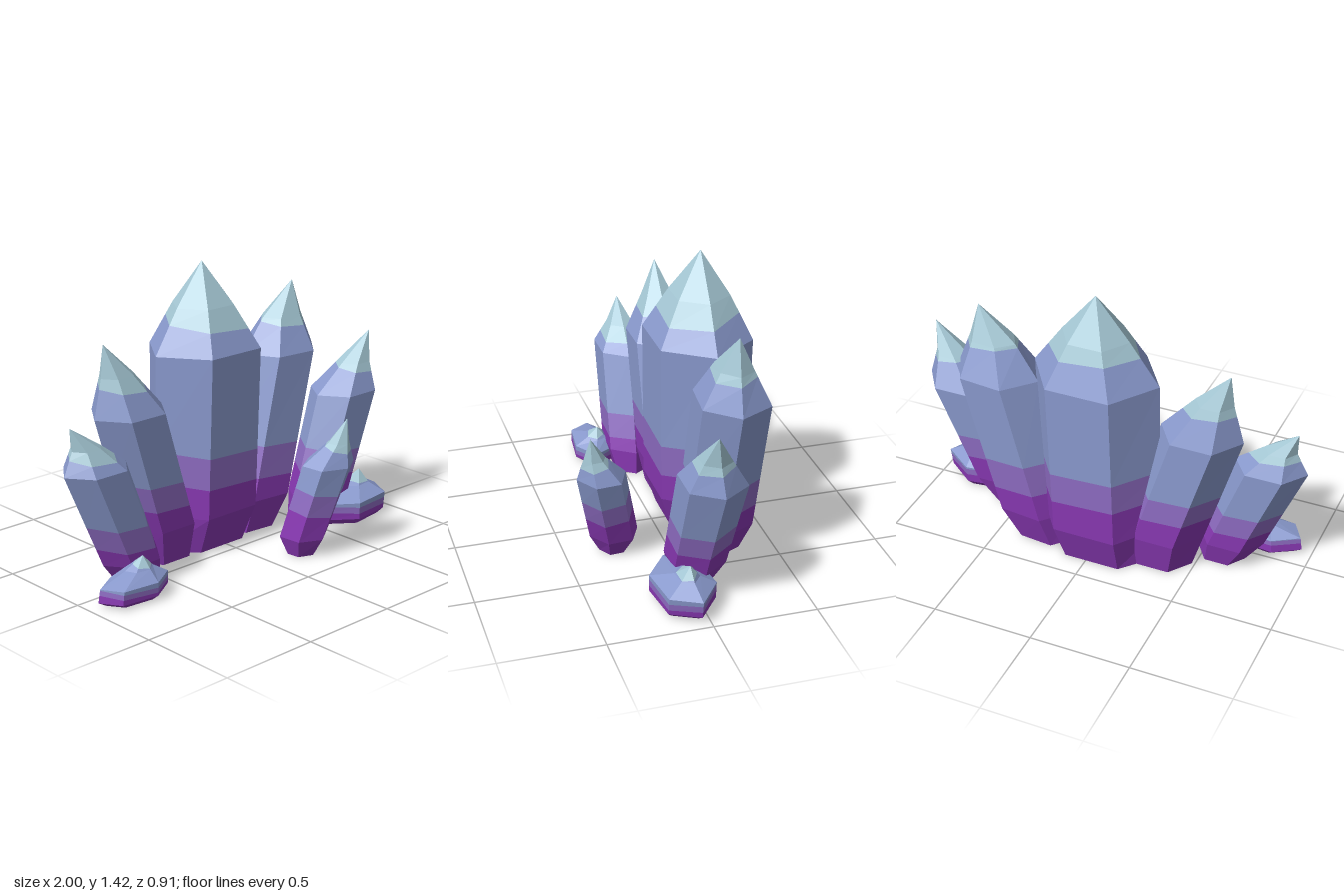
import * as THREE from 'three';

const SIDES = 6;
const mat = (name, color) => {
  const m = new THREE.MeshStandardMaterial({ color, flatShading: true });
  m.name = name;
  return m;
};

// A crystal lofted through hexagonal sections [y, centreX, centreZ, radiusX, radiusZ].
// bands: heights where the colour changes, bottom to top; slant tilts those lines.
function crystal(name, materials, sections, bands, slant = 0.018, turn = 0) {
  const angle = i => turn + (i % SIDES) / SIDES * Math.PI * 2;
  // point on long edge i at height y
  const edge = (i, y) => {
    let k = 0;
    while (k < sections.length - 2 && y > sections[k + 1][0]) k++;
    const a = sections[k], b = sections[k + 1];
    const t = (y - a[0]) / (b[0] - a[0]);
    const [cx, cz, rx, rz] = [1, 2, 3, 4].map(n => a[n] + (b[n] - a[n]) * t);
    return [cx + rx * Math.cos(angle(i)), y, cz + rz * Math.sin(angle(i))];
  };
  const levels = [
    ...sections.map(s => ({ y: s[0], slant: 0 })),
    ...bands.map(y => ({ y, slant })),
  ].sort((a, b) => a.y - b.y);
  const ring = l => Array.from({ length: SIDES }, (_, i) =>
    edge(i, l.y - l.slant * Math.cos(angle(i) - 0.9)));

  const geo = new THREE.BufferGeometry();
  const pos = [];
  const tri = (...pts) => pts.forEach(p => pos.push(...p));
  const rings = levels.map(ring);

  // base cap
  for (let i = 1; i < SIDES - 1; i++) tri(rings[0][0], rings[0][i], rings[0][i + 1]);
  geo.addGroup(0, pos.length / 3, 0);

  // sides and point
  for (let k = 0; k < rings.length - 1; k++) {
    const start = pos.length / 3, a = rings[k], b = rings[k + 1];
    const last = k === rings.length - 2;
    for (let i = 0; i < SIDES; i++) {
      const j = (i + 1) % SIDES;
      tri(a[i], b[i], a[j]);
      if (!last) tri(a[j], b[i], b[j]);
    }
    const band = bands.filter(y => y <= levels[k].y).length;
    geo.addGroup(start, pos.length / 3 - start, band);
  }
  geo.setAttribute('position', new THREE.Float32BufferAttribute(pos, 3));
  geo.computeVertexNormals();
  const mesh = new THREE.Mesh(geo, materials);
  mesh.name = name;
  return mesh;
}

export function createModel() {
  const group = new THREE.Group();
  group.name = 'crystalCluster';
  const materials = [
    mat('deepPurple', 0x8838b2),
    mat('lightPurple', 0x8e6cc2),
    mat('periwinkle', 0x8a9ace),
    mat('paleTeal', 0xa6c9d6),
  ];
  const add = (...args) => group.add(crystal(args[0], materials, ...args.slice(1)));

  // tall crystals in the back row
  add('centreCrystal', [
    [0, -0.03, -0.228, 0.28, 0.18],
    [0.19, -0.015, -0.225, 0.315, 0.25],
    [1.0, 0.005, -0.226, 0.318, 0.264],
    [1.21, 0.003, -0.235, 0.17, 0.148],
    [1.42, 0, -0.24, 0, 0],
  ], [0.35, 0.51, 1.12], 0.025);
  add('leftTallCrystal', [
    [0, 0.275, -0.22, 0.17, 0.14],
    [0.17, 0.33, -0.222, 0.215, 0.185],
    [0.89, 0.515, -0.232, 0.222, 0.184],
    [1.06, 0.54, -0.232, 0.125, 0.09],
    [1.23, 0.61, -0.23, 0, 0],
  ], [0.29, 0.45, 1.03], 0.018, 0.12);
  add('rightTallCrystal', [
    [0, -0.32, -0.195, 0.165, 0.13],
    [0.18, -0.335, -0.195, 0.205, 0.17],
    [0.78, -0.515, -0.193, 0.205, 0.172],
    [0.97, -0.575, -0.2, 0.095, 0.08],
    [1.13, -0.65, -0.205, 0, 0],
  ], [0.3, 0.43, 0.91]);

  // outer leaning crystals
  add('leftOuterCrystal', [
    [0, 0.55, -0.03, 0.125, 0.105],
    [0.14, 0.615, -0.03, 0.175, 0.145],
    [0.65, 0.81, -0.047, 0.19, 0.16],
    [0.79, 0.875, -0.035, 0.09, 0.08],
    [0.94, 0.97, -0.02, 0, 0],
  ], [0.26, 0.38, 0.76]);
  add('rightOuterCrystal', [
    [0, -0.59, -0.055, 0.12, 0.1],
    [0.12, -0.635, -0.055, 0.165, 0.135],
    [0.6, -0.82, -0.07, 0.18, 0.14],
    [0.71, -0.865, -0.078, 0.08, 0.07],
    [0.82, -0.95, -0.085, 0, 0],
  ], [0.2, 0.32, 0.66]);

  // small crystal standing in front
  add('frontCrystal', [
    [0, 0.205, 0.26, 0.08, 0.068],
    [0.09, 0.215, 0.255, 0.122, 0.122],
    [0.46, 0.3, 0.335, 0.138, 0.122],
    [0.57, 0.33, 0.375, 0.055, 0.055],
    [0.69, 0.36, 0.4, 0, 0],
  ], [0.22, 0.33, 0.54], 0.018, 0.45);

  // low stubs with a small point
  add('leftStub', [
    [0, 0.74, 0.07, 0.18, 0.12],
    [0.03, 0.745, 0.07, 0.22, 0.148],
    [0.115, 0.75, 0.07, 0.228, 0.148],
    [0.165, 0.795, 0.065, 0.085, 0.058],
    [0.23, 0.83, 0.06, 0, 0],
  ], [0.065, 0.098, 0.18], 0.012, -0.2);
  add('rightStub', [
    [0, -0.755, 0.11, 0.155, 0.08],
    [0.025, -0.76, 0.113, 0.195, 0.108],
    [0.09, -0.755, 0.115, 0.19, 0.106],
    [0.135, -0.715, 0.1, 0.075, 0.058],
    [0.19, -0.69, 0.1, 0, 0],
  ], [0.052, 0.076, 0.15], 0.012, 0.2);

  return group;
}
